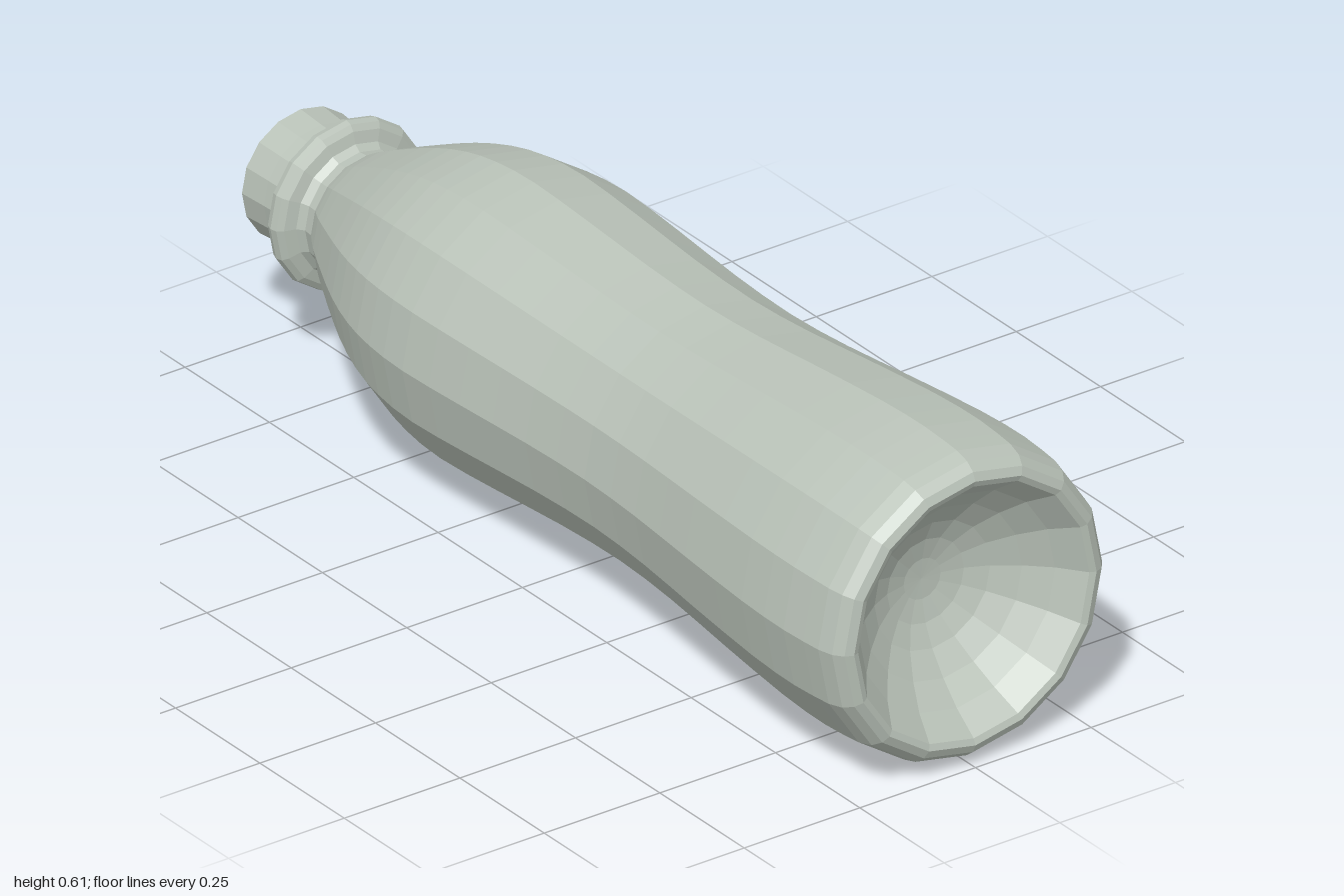
import * as THREE from 'three';

const SIDES = 16;
const AXIS_Y = 0.306;

export function createModel() {
  const bottle = new THREE.Group();
  bottle.name = 'bottle';
  const glass = new THREE.MeshStandardMaterial({ color: 0xb9c2b8, flatShading: true, side: THREE.DoubleSide });
  glass.name = 'pale grey green';

  // Revolves [radius, z] points, listed from the base towards the mouth, about the z axis
  function addRevolved(name, points) {
    const profile = points.map(([r, z]) => new THREE.Vector2(r, -z));
    const geometry = new THREE.LatheGeometry(profile, SIDES);
    geometry.rotateX(-Math.PI / 2);
    geometry.translate(0, AXIS_Y, 0);
    const mesh = new THREE.Mesh(geometry, glass);
    mesh.name = name;
    bottle.add(mesh);
  }

  // Hollow dome pushed up into the base
  addRevolved('baseHollow', [
    [0, 0.84], [0.04, 0.842], [0.083, 0.852], [0.125, 0.872], [0.17, 0.905], [0.212, 0.945], [0.25, 0.995],
  ]);

  // Rounded rim the bottle stands on
  addRevolved('baseRim', [
    [0.25, 0.995], [0.262, 1], [0.278, 0.993], [0.292, 0.975], [0.3, 0.945],
  ]);

  // Waisted body and shoulder, smoothed by a curve through a few radii
  const bodyCurve = new THREE.SplineCurve([
    [0.3, 0.945], [0.306, 0.85], [0.302, 0.72], [0.286, 0.53], [0.27, 0.36], [0.262, 0.2], [0.266, 0.03],
    [0.277, -0.15], [0.284, -0.31], [0.276, -0.42], [0.257, -0.51], [0.225, -0.6], [0.183, -0.69],
    [0.145, -0.765], [0.12, -0.805],
  ].map(([r, z]) => new THREE.Vector2(r, z)));
  addRevolved('body', bodyCurve.getPoints(28).map((p) => [p.x, p.y]));

  // Neck with its raised collar
  addRevolved('neckCollar', [
    [0.12, -0.805], [0.118, -0.825], [0.128, -0.838], [0.15, -0.844], [0.161, -0.852], [0.164, -0.865],
    [0.16, -0.878], [0.147, -0.887], [0.13, -0.893], [0.122, -0.905],
  ]);

  // Open mouth
  addRevolved('mouth', [[0.122, -0.905], [0.123, -0.94], [0.127, -1]]);

  return bottle;
}
